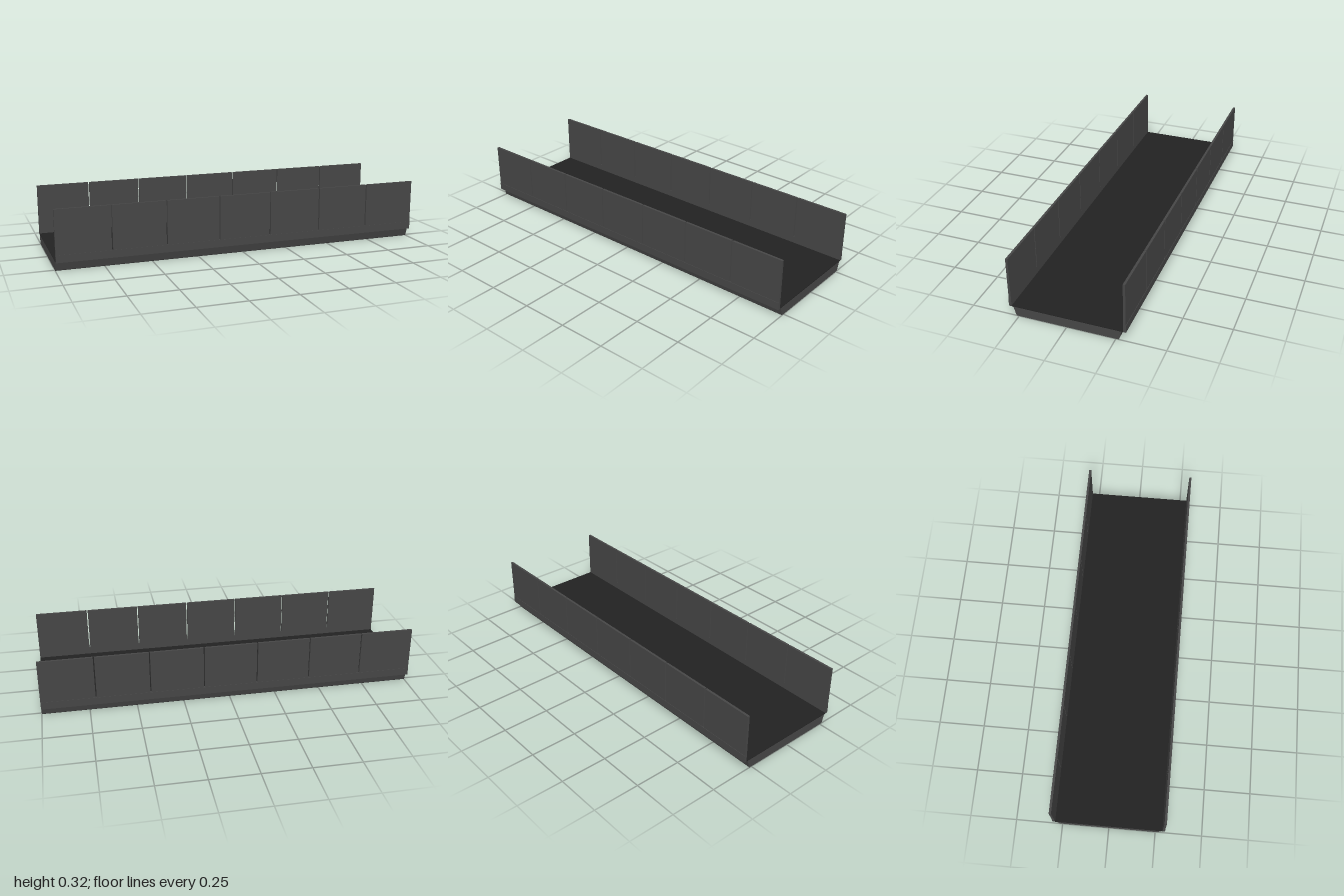
import * as THREE from 'three';

const LENGTH = 2;
const PANELS = 7;
const GAP = 0.006;

export function createModel() {
  const model = new THREE.Group();
  model.name = 'troughSection';

  const steel = new THREE.MeshStandardMaterial({ color: 0x464646 });
  steel.name = 'dark grey';
  const floorDark = new THREE.MeshStandardMaterial({ color: 0x222222 });
  floorDark.name = 'near black';

  function box(name, material, size, position, parent = model) {
    const mesh = new THREE.Mesh(new THREE.BoxGeometry(...size), material);
    mesh.name = name;
    mesh.position.set(...position);
    parent.add(mesh);
  }

  // Base: tapered section with softened lower corners, run along x
  const half = [[0.262, 0], [0.265, 0.003], [0.277, 0.047], [0.281, 0.05]];
  const section = new THREE.Shape([
    ...half.map(([z, y]) => new THREE.Vector2(z, y)),
    ...half.slice().reverse().map(([z, y]) => new THREE.Vector2(-z, y)),
  ]);
  const baseGeometry = new THREE.ExtrudeGeometry(section, { depth: LENGTH, bevelEnabled: false });
  baseGeometry.translate(0, 0, -LENGTH / 2).rotateY(Math.PI / 2);
  const base = new THREE.Mesh(baseGeometry, steel);
  base.name = 'base';
  model.add(base);

  // Thin floor plate between the walls
  box('floor', floorDark, [LENGTH, 0.003, 0.574], [0, 0.0515, 0]);

  // Side walls: continuous kerb below, separate panels above
  for (const side of [1, -1]) {
    const wall = new THREE.Group();
    wall.name = side > 0 ? 'frontWall' : 'backWall';
    model.add(wall);
    box('kerb', steel, [LENGTH, 0.04, 0.014], [0, 0.07, side * 0.294], wall);

    const pitch = LENGTH / PANELS;
    for (let i = 0; i < PANELS; i++) {
      const x0 = -LENGTH / 2 + i * pitch + (i > 0 ? GAP / 2 : 0);
      const x1 = -LENGTH / 2 + (i + 1) * pitch - (i < PANELS - 1 ? GAP / 2 : 0);
      box('panel', steel, [x1 - x0, 0.233, 0.012], [(x0 + x1) / 2, 0.2065, side * 0.293], wall);
    }
  }

  return model;
}
